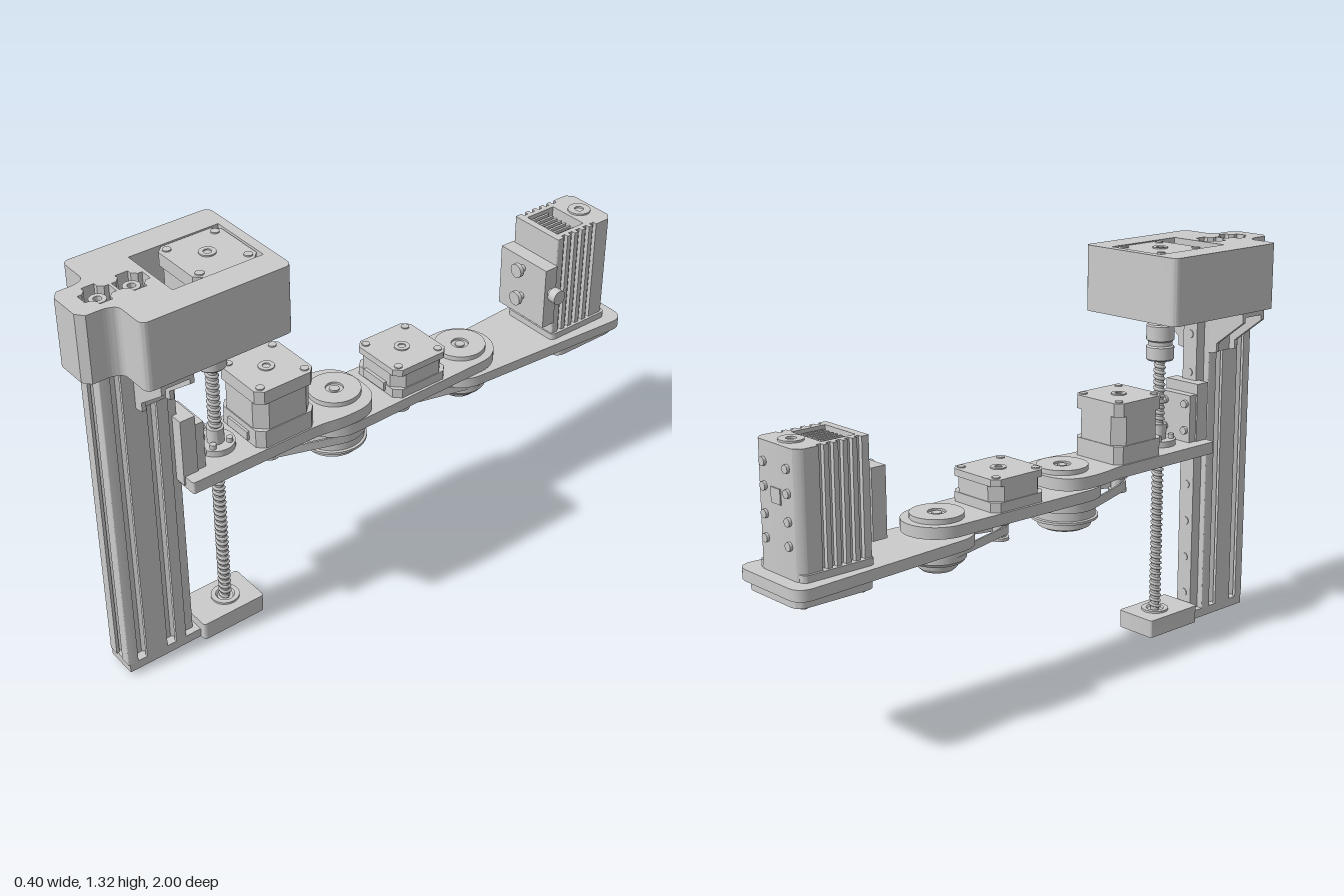
import * as THREE from 'three';
import { toCreasedNormals } from 'three/addons/utils/BufferGeometryUtils.js';

const grey = new THREE.MeshStandardMaterial({ color: 0xcccccc, side: THREE.DoubleSide });

function add(parent, name, geo, x = 0, y = 0, z = 0) {
  const m = new THREE.Mesh(geo, grey);
  m.name = name;
  m.position.set(x, y, z);
  parent.add(m);
  return m;
}
function group(parent, name, z = 0) {
  const g = new THREE.Group();
  g.name = name;
  g.position.z = z;
  parent.add(g);
  return g;
}
// box given by its ranges
const box = (p, name, x0, x1, y0, y1, z0, z1) => add(p, name,
  new THREE.BoxGeometry(x1 - x0, y1 - y0, z1 - z0), (x0 + x1) / 2, (y0 + y1) / 2, (z0 + z1) / 2);
// upright cylinder from y0 to y1
const cyl = (p, name, r, y0, y1, x = 0, z = 0, seg = 32) => add(p, name,
  new THREE.CylinderGeometry(r, r, y1 - y0, seg), x, (y0 + y1) / 2, z);
// turned part, profile of [radius, y] from bottom to top
const lathe = (p, name, pts, x = 0, z = 0) => add(p, name, toCreasedNormals(
  new THREE.LatheGeometry(pts.map(q => new THREE.Vector2(...q)), 40), 0.5), x, 0, z);

// closed outline in x,z; each corner is [x, z, corner radius]
function outline(pts, path = new THREE.Shape()) {
  const v = pts.map(q => new THREE.Vector2(q[0], q[1]));
  pts.forEach((q, i) => {
    const c = v[i], a = v[(i + v.length - 1) % v.length], b = v[(i + 1) % v.length], r = q[2] || 0;
    const s = c.clone().add(a.clone().sub(c).setLength(r)), e = c.clone().add(b.clone().sub(c).setLength(r));
    if (i) path.lineTo(s.x, s.y); else path.moveTo(s.x, s.y);
    if (r) path.quadraticCurveTo(c.x, c.y, e.x, e.y);
  });
  path.closePath();
  return path;
}
const mirror = half => [...half, ...half.map(([x, z, r]) => [-x, z, r]).reverse()];
const rect = (w, z0, z1, r = 0) => mirror([[w, z0, r], [w, z1, r]]);
const hole = (x, z, r) => new THREE.Path().absarc(x, z, r, 0, Math.PI * 2);
// horizontal plate with an x,z outline between two heights
function slab(p, name, shape, y0, y1, z = 0) {
  const g = new THREE.ExtrudeGeometry(shape, { depth: y1 - y0, bevelEnabled: false, curveSegments: 10 });
  return add(p, name, toCreasedNormals(g.rotateX(Math.PI / 2), 0.5), 0, y1, z);
}
// arm outline with one semicircular end
function armShape(zRound, r, zFar, wFar, corner) {
  const s = new THREE.Shape(), d = Math.sign(zFar - zRound);
  s.absarc(0, zRound, r, d > 0 ? Math.PI : 0, d > 0 ? Math.PI * 2 : Math.PI);
  s.lineTo(d * wFar, zFar - d * corner);
  s.quadraticCurveTo(d * wFar, zFar, d * (wFar - corner), zFar);
  s.lineTo(-d * (wFar - corner), zFar);
  s.quadraticCurveTo(-d * wFar, zFar, -d * wFar, zFar - d * corner);
  s.closePath();
  return s;
}
// square stepper motor with chamfered corners and screws
function motor(parent, name, z, y0, y1) {
  const g = group(parent, name, z), h = y1 - y0, w = 0.105;
  const oct = (k, c) => outline(mirror([[k - c, -k], [k, -k + c], [k, k - c], [k - c, k]]));
  slab(g, 'motorFlange', oct(w, 0.022), y0, y0 + h * 0.3);
  slab(g, 'motorCore', oct(w - 0.003, 0.035), y0 + h * 0.3, y0 + h * 0.78);
  slab(g, 'motorCap', oct(w, 0.022), y0 + h * 0.78, y1);
  for (const x of [-0.08, 0.08]) for (const dz of [-0.08, 0.08]) cyl(g, 'motorScrew', 0.013, y1 - 0.01, y1 + 0.004, x, dz, 16);
  lathe(g, 'shaftBoss', [[0.025, y1 - 0.01], [0.025, y1 + 0.004], [0.012, y1 + 0.004], [0.012, y1 - 0.002], [0, y1 - 0.002]]);
  box(g, 'connector', -0.05, 0.05, y0 + 0.01, y0 + 0.04, w - 0.005, w + 0.008);
}
// toothed drive pulley between two flanges
function pulley(parent, z, y0, y1) {
  lathe(parent, 'drivePulley', [[0, y0], [0.03, y0], [0.03, y0 + 0.01], [0.022, y0 + 0.012], [0.022, y1 - 0.045],
    [0.032, y1 - 0.043], [0.032, y1 - 0.03], [0.014, y1 - 0.03], [0.014, y1]], 0, z);
}
// thin belt loop wrapped round a small and a large wheel
function belt(parent, zs, rs, zl, rl, y0, y1) {
  const a = Math.asin((rl - rs) / (zs - zl));
  const loop = (path, t) => {
    path.absarc(0, zs, rs + t, a, Math.PI - a);
    path.absarc(0, zl, rl + t, Math.PI - a, Math.PI * 2 + a);
    return path;
  };
  const s = loop(new THREE.Shape(), 0.006);
  s.holes.push(loop(new THREE.Path(), 0));
  slab(parent, 'driveBelt', s, y0, y1);
}
// knob lying along x or z
function knob(p, name, x, y, z, axis, r = 0.022, len = 0.03) {
  const g = new THREE.CylinderGeometry(r, r, len, 20);
  if (axis === 'x') g.rotateZ(Math.PI / 2); else g.rotateX(Math.PI / 2);
  add(p, name, g, x, y, z);
}
class Helix extends THREE.Curve {
  constructor(r, y0, y1, turns) { super(); Object.assign(this, { r, y0, y1, turns }); }
  getPoint(t, v = new THREE.Vector3()) {
    const a = t * this.turns * Math.PI * 2;
    return v.set(this.r * Math.cos(a), this.y0 + (this.y1 - this.y0) * t, this.r * Math.sin(a));
  }
}

export function createModel() {
  const root = new THREE.Group();
  root.name = 'roboticArm';

  // base foot
  const base = group(root, 'base');
  box(base, 'baseTongue', -0.052, 0.052, 0.015, 0.045, 0.68, 0.945);
  slab(base, 'baseBlock', outline(rect(0.075, 0.465, 0.69, 0.012)), 0.015, 0.075);
  lathe(base, 'screwBearing', [[0.045, 0.07], [0.045, 0.082], [0.03, 0.082], [0.025, 0.076], [0, 0.076]], 0, 0.56);
  lathe(base, 'bearingRim', [[0.02, 0.014], [0.025, 0.008], [0.045, 0.008], [0.045, 0.02]], 0, 0.56);
  for (const z of [0.9, 0.795]) lathe(base, 'footScrew', [[0, 0], [0.012, 0.001], [0.018, 0.015]], 0, z);

  // slotted column
  const column = group(root, 'column');
  const slotSide = zc => [[0.052, zc - 0.016], [0.042, zc - 0.016], [0.042, zc - 0.028], [0.034, zc - 0.028], [0.022, zc - 0.014],
    [0.022, zc + 0.014], [0.034, zc + 0.028], [0.042, zc + 0.028], [0.042, zc + 0.016], [0.052, zc + 0.016]];
  const profile = outline(mirror([[0.016, 0.752], [0.016, 0.742], [0.052, 0.742, 0.004], ...slotSide(0.795), ...slotSide(0.9),
    [0.052, 0.95, 0.004], [0.016, 0.95], [0.016, 0.94], [0.028, 0.94], [0.014, 0.922]]));
  profile.holes.push(hole(0, 0.795, 0.01), hole(0, 0.9, 0.01));
  slab(column, 'slottedPost', profile, 0.045, 1.1);
  box(column, 'linearRail', -0.03, 0.03, 0.045, 1.06, 0.705, 0.745);
  for (let y = 0.1; y < 1.05; y += 0.13) knob(column, 'railBolt', 0, y, 0.705, 'z', 0.014, 0.006);

  // gusset brackets under the housing
  for (const s of [-1, 1]) {
    const b = group(column, 'cornerBracket');
    b.scale.x = s;
    box(b, 'bracketSide', 0.052, 0.062, 0.95, 1.1, 0.74, 0.845);
    box(b, 'bracketTop', 0.052, 0.195, 1.085, 1.1, 0.74, 0.845);
    const tri = new THREE.Shape([[0.062, 0.95], [0.085, 0.955], [0.085, 0.985], [0.195, 1.068], [0.195, 1.1], [0.062, 1.1]]
      .map(q => new THREE.Vector2(...q)));
    for (const z of [0.74, 0.831]) add(b, 'gusset',
      new THREE.ExtrudeGeometry(tri, { depth: 0.014, bevelEnabled: false }), 0, 0, z);
    knob(b, 'bracketBolt', 0.066, 1.015, 0.793, 'x', 0.02, 0.012);
  }

  // top housing with motor pocket and cross recesses over the post
  const top = group(root, 'topHousing');
  const shell = outline(mirror([[0.2, 0.41, 0.025], [0.2, 0.89, 0.025], [0.088, 0.89, 0.02], [0.075, 0.925, 0.01], [0.075, 0.98], [0.05, 1.0]]));
  shell.holes.push(outline(rect(0.108, 0.44, 0.735), new THREE.Path()));
  for (const c of [0.795, 0.9]) shell.holes.push(outline(mirror([[0.02, c - 0.048], [0.02, c - 0.034], [0.034, c - 0.02],
    [0.048, c - 0.02], [0.048, c + 0.02], [0.034, c + 0.02], [0.02, c + 0.034], [0.02, c + 0.048]]), new THREE.Path()));
  slab(top, 'housingShell', shell, 1.1, 1.315);
  box(top, 'pocketFloor', -0.108, 0.108, 1.1, 1.12, 0.44, 0.735);
  for (const c of [0.795, 0.9]) {
    lathe(top, 'postCore', [[0.025, 1.1], [0.025, 1.3], [0.012, 1.3], [0.012, 1.27], [0, 1.27]], 0, c);
    box(top, 'recessFloor', -0.05, 0.05, 1.1, 1.2, c - 0.05, c + 0.05);
  }
  motor(top, 'liftMotor', 0.55, 1.12, 1.312);
  for (const x of [-0.08, 0.08]) for (const z of [0.48, 0.635]) cyl(top, 'housingScrew', 0.013, 1.087, 1.1, x, z, 16);

  // lead screw, coupler and nut
  const lift = group(root, 'leadScrew', 0.56);
  cyl(lift, 'screwCore', 0.015, 0.05, 1.0);
  add(lift, 'screwThread', new THREE.TubeGeometry(new Helix(0.015, 0.08, 0.95, 45), 900, 0.006, 5));
  lathe(lift, 'coupler', [[0.015, 0.945], [0.042, 0.945], [0.046, 0.95], [0.046, 0.99], [0.04, 0.995], [0.04, 1.008],
    [0.046, 1.013], [0.046, 1.06], [0.042, 1.065], [0.015, 1.065]]);
  cyl(lift, 'motorShaft', 0.016, 1.06, 1.11);
  lathe(lift, 'screwNut', [[0.025, 0.59], [0.025, 0.66], [0.058, 0.66], [0.058, 0.68], [0.026, 0.68], [0.026, 0.73], [0.016, 0.73]]);
  for (let i = 0; i < 4; i++) {
    const a = (i + 0.5) * Math.PI / 2;
    cyl(lift, 'nutScrew', 0.01, 0.605, 0.695, 0.042 * Math.cos(a), 0.042 * Math.sin(a), 12);
  }

  // carriage on the rail
  const carriage = group(root, 'carriage');
  box(carriage, 'slideBlock', -0.07, 0.07, 0.63, 0.855, 0.67, 0.72);
  box(carriage, 'mountPlate', -0.065, 0.065, 0.655, 0.82, 0.64, 0.67);
  for (const x of [-0.045, 0.045]) for (const y of [0.7, 0.79]) knob(carriage, 'carriageScrew', x, y, 0.637, 'z', 0.013, 0.016);

  // first arm
  const arm1 = group(root, 'firstArm');
  const s1 = outline(mirror([[0.11, 0.715, 0.01], [0.11, 0.26, 0.03], [0.125, 0.18, 0.03], [0.125, 0.022, 0.11]]));
  s1.holes.push(hole(0, 0.56, 0.024));
  slab(arm1, 'firstArmPlate', s1, 0.62, 0.66);
  motor(arm1, 'firstArmMotor', 0.37, 0.66, 0.86);
  pulley(arm1, 0.37, 0.535, 0.625);
  belt(arm1, 0.37, 0.022, 0.13, 0.1, 0.54, 0.57);

  // second arm
  const arm2 = group(root, 'secondArm');
  const s2 = armShape(0.128, 0.118, -0.4, 0.11, 0.02);
  slab(arm2, 'secondArmPlate', s2, 0.575, 0.612);
  cyl(arm2, 'secondArmEnd', 0.11, 0.575, 0.612, 0, -0.393, 48);
  motor(arm2, 'secondArmMotor', -0.148, 0.612, 0.715);
  pulley(arm2, -0.145, 0.485, 0.58);
  belt(arm2, -0.145, 0.022, -0.393, 0.085, 0.505, 0.532);

  // joint hubs and their top caps
  const cap = (p, y, z) => lathe(p, 'jointCap', [[0.083, y - 0.04], [0.083, y + 0.016], [0.028, y + 0.016], [0.028, y + 0.009],
    [0.016, y + 0.009], [0.016, y + 0.014], [0, y + 0.014]], 0, z);
  cap(arm1, 0.66, 0.12);
  cap(arm2, 0.612, -0.393);
  lathe(arm2, 'shoulderHub', [[0, 0.455], [0.012, 0.455], [0.012, 0.47], [0.07, 0.47], [0.085, 0.478], [0.085, 0.5], [0.108, 0.502],
    [0.108, 0.51], [0.1, 0.512], [0.1, 0.57], [0.112, 0.575], [0.06, 0.6], [0.06, 0.63]], 0, 0.13);

  // third arm and elbow hub
  const arm3 = group(root, 'thirdArm');
  slab(arm3, 'thirdArmPlate', armShape(-0.393, 0.113, -1.0, 0.15, 0.05), 0.528, 0.563);
  lathe(arm3, 'elbowHub', [[0, 0.45], [0.05, 0.45], [0.062, 0.462], [0.065, 0.475], [0.08, 0.478], [0.088, 0.488], [0.088, 0.535],
    [0.113, 0.54], [0.113, 0.563], [0.07, 0.565], [0.07, 0.58]], 0, -0.393);
  const rim = outline(rect(0.125, -0.985, -0.715, 0.04));
  rim.holes.push(hole(0, -0.85, 0.085));
  slab(arm3, 'lowerRim', rim, 0.5, 0.528);
  lathe(arm3, 'outputHub', [[0, 0.515], [0.04, 0.515], [0.045, 0.53]], 0, -0.85);
  for (let i = 0; i < 4; i++) {
    const a = (i + 0.5) * Math.PI / 2;
    const spoke = box(arm3, 'rimSpoke', -0.012, 0.012, 0.512, 0.53, -0.045, 0.045);
    spoke.position.set(0.06 * Math.sin(a), 0.521, -0.85 + 0.06 * Math.cos(a));
    spoke.rotation.y = a;
    cyl(arm3, 'rimScrew', 0.012, 0.492, 0.505, 0.14 * Math.sin(a), -0.85 + 0.14 * Math.cos(a), 12);
  }

  // finned tool motor at the tip
  const tool = group(root, 'toolMotor');
  const side = [[0.08, -0.955, 0.005], [0.1, -0.935, 0.005]];
  for (let i = 0; i < 5; i++) {
    const z = -0.88 + i * 0.032;
    side.push([0.1, z], [0.086, z], [0.086, z + 0.016], [0.1, z + 0.016]);
  }
  const body = outline(mirror([...side, [0.1, -0.71, 0.005]]));
  body.holes.push(outline(rect(0.07, -0.85, -0.735), new THREE.Path()));
  slab(tool, 'finnedBody', body, 0.562, 0.94);
  box(tool, 'cavityFloor', -0.07, 0.07, 0.562, 0.85, -0.85, -0.735);
  for (let i = -3; i <= 3; i++) box(tool, 'coolingFin', i * 0.02 - 0.004, i * 0.02 + 0.004, 0.84, 0.93, -0.82, -0.745);
  lathe(tool, 'topBoss', [[0.037, 0.935], [0.037, 0.946], [0.015, 0.946], [0.015, 0.938], [0, 0.938]], 0, -0.9);
  slab(tool, 'toolFoot', outline(rect(0.108, -0.95, -0.705, 0.02)), 0.56, 0.585);
  box(tool, 'frontBlock', -0.105, 0.105, 0.63, 0.845, -0.71, -0.66);
  box(tool, 'backWindow', -0.022, 0.022, 0.77, 0.815, -0.959, -0.95);
  for (const y of [0.66, 0.73, 0.81, 0.88]) for (const x of [-0.055, 0.055]) knob(tool, 'backBolt', x, y, -0.957, 'z', 0.013, 0.014);
  for (const y of [0.705, 0.81]) {
    knob(tool, 'frontKnobStem', 0, y, -0.65, 'z', 0.012, 0.03);
    knob(tool, 'frontKnob', 0, y, -0.634, 'z', 0.024, 0.014);
  }
  knob(tool, 'sideKnobStem', 0.11, 0.757, -0.685, 'x', 0.013, 0.03);
  knob(tool, 'sideKnob', 0.134, 0.757, -0.685, 'x', 0.025, 0.03);
  return root;
}
